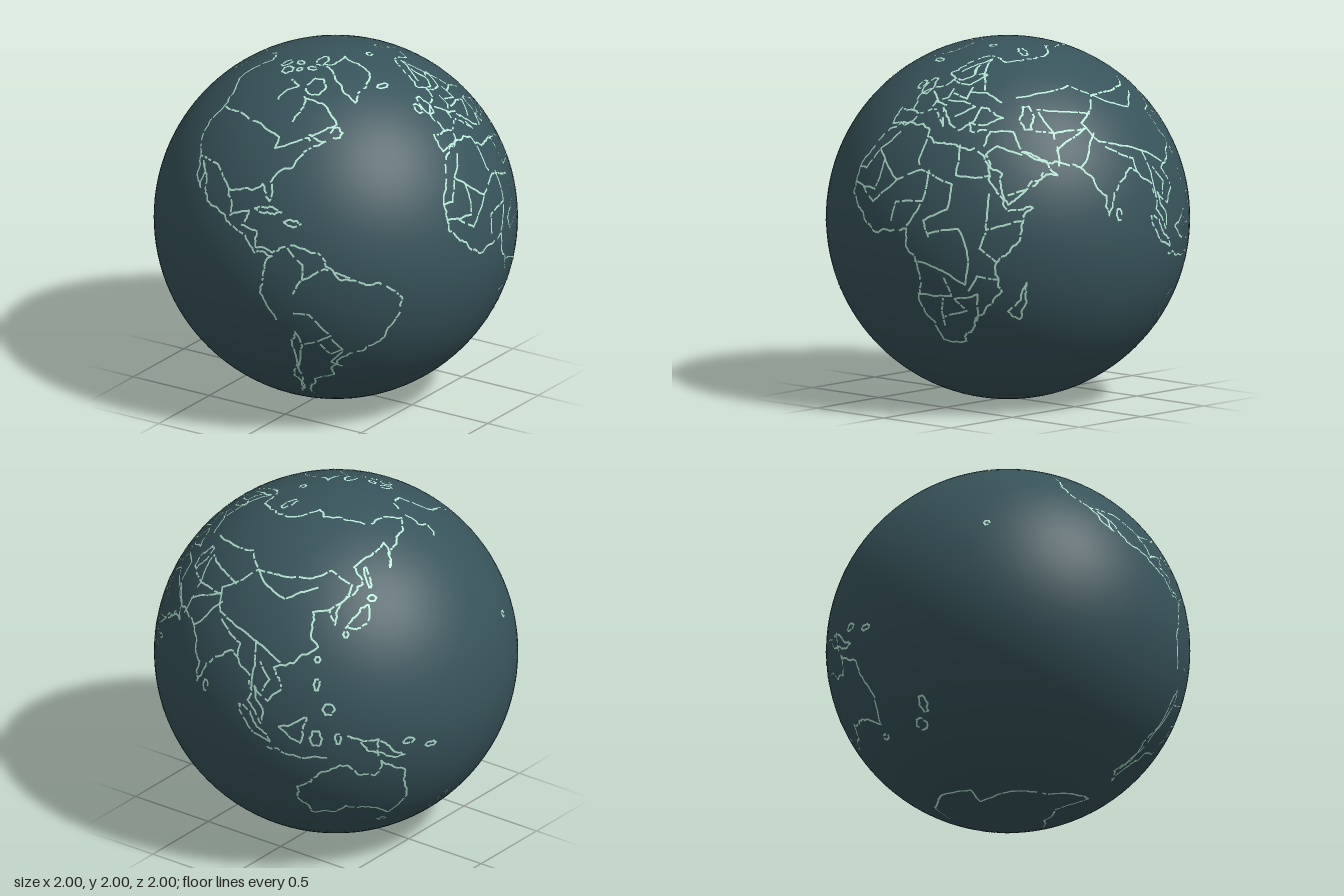
import * as THREE from 'three';

const ocean = new THREE.MeshStandardMaterial({ color: 0x37535a });
ocean.name = 'dark slate';
const mint = new THREE.MeshStandardMaterial({ color: 0xb9ecd8 });
mint.name = 'pale mint';

const WIDTH = 0.011, STEP = 0.022, GAP = 0.12, COAST = 0.32, BORDER = 0.12;

// Seeded noise for the ragged, broken lines
let seed = 7;
const rand = () => (seed = (seed * 16807) % 2147483647) / 2147483647;

// Longitude and latitude in degrees to a unit direction
function direction([lon, lat]) {
  return new THREE.Vector3().setFromSphericalCoords(1, (90 - lat) * Math.PI / 180, (lon + 90) * Math.PI / 180);
}

// Split a stretch at a shifted midpoint until the steps are short
function roughen(a, b, rough, out) {
  const angle = direction(a).angleTo(direction(b));
  if (angle < STEP) return out.push(direction(b));
  const shift = rough * THREE.MathUtils.radToDeg(angle);
  const lat = (a[1] + b[1]) / 2 + (rand() - 0.5) * shift;
  const mid = [(a[0] + b[0]) / 2 + (rand() - 0.5) * shift / Math.cos(lat * Math.PI / 180), lat];
  roughen(a, mid, rough, out);
  roughen(mid, b, rough, out);
}

function trace(path, rough) {
  const out = [direction(path)];
  for (let i = 2; i < path.length; i += 2) roughen(path.slice(i - 2, i), path.slice(i, i + 2), rough, out);
  return out;
}

// Closed outline of a small island from its centre and half sizes in degrees
function island(lon, lat, w, h) {
  const path = [];
  for (let i = 0; i < 6; i++) path.push(lon + w * Math.cos(i * Math.PI / 3), lat + h * Math.sin(i * Math.PI / 3));
  return [...path, path[0], path[1]];
}

// One mesh of flat dashes that lie just above the sphere
function outlines(name, rough, ...paths) {
  const position = [], normal = [], index = [];
  for (const path of paths) {
    const points = trace(path, rough);
    for (let i = 1; i < points.length; i++) {
      if (rand() < GAP) continue;
      const a = points[i - 1], b = points[i];
      const along = b.clone().sub(a).normalize();
      const side = a.clone().cross(along).setLength(WIDTH / 2);
      along.setLength(WIDTH / 4);
      const start = position.length / 3;
      for (const [p, s, e] of [[a, -1, -1], [b, -1, 1], [b, 1, 1], [a, 1, -1]]) {
        const n = p.clone().addScaledVector(side, s).addScaledVector(along, e).normalize();
        normal.push(...n.toArray());
        position.push(...n.toArray());
      }
      index.push(start, start + 1, start + 2, start, start + 2, start + 3);
    }
  }
  const geometry = new THREE.BufferGeometry();
  geometry.setAttribute('position', new THREE.Float32BufferAttribute(position, 3));
  geometry.setAttribute('normal', new THREE.Float32BufferAttribute(normal, 3));
  geometry.setIndex(index);
  const mesh = new THREE.Mesh(geometry, mint);
  mesh.name = name;
  return mesh;
}

export function createModel() {
  const globe = new THREE.Group();
  globe.name = 'globe';
  globe.position.y = 1;
  const sphere = new THREE.Mesh(new THREE.SphereGeometry(0.998, 128, 64), ocean);
  sphere.name = 'oceanSphere';

  globe.add(
    sphere,
    outlines('northAmericaCoast', COAST,
      // western side
      [-141, 60, -130, 55, -124, 48, -124, 40, -117, 32, -110, 23, -114, 31, -105, 20, -95, 16, -87, 13, -83, 8, -77, 8],
      // eastern side
      [-77, 9, -83, 10, -83, 15, -89, 16, -87, 21, -94, 18, -97, 26, -84, 30, -80, 25, -81, 31, -70, 42, -61, 46, -69, 48],
      [-69, 48, -56, 52, -65, 60, -78, 62, -79, 52], [-94, 59, -86, 66, -96, 68],
      // north-western peninsula
      [-164, 55, -158, 59, -165, 61, -156, 71, -141, 70]),
    outlines('northAmericaBorders', BORDER,
      [-123, 49, -95, 49, -83, 46, -83, 42, -75, 45, -69, 47, -67, 45], [-141, 70, -141, 60],
      [-117, 32, -106, 32, -97, 26]),
    outlines('northernIslands', COAST,
      [-44, 60, -54, 69, -72, 78, -32, 83, -22, 71, -44, 60],
      island(-80, 22, 5, 1), island(-71, 19, 3, 1), island(-56, 49, 3, 2), island(-72, 67, 8, 4),
      island(-80, 80, 10, 3), island(-110, 71, 6, 2), island(-122, 73, 4, 2), island(-86, 75, 6, 1),
      island(-108, 76, 6, 1), island(-99, 73, 3, 1), island(-19, 65, 5, 1), island(-2, 53, 3, 4),
      island(-8, 53, 2, 2), island(60, 74, 5, 3), island(18, 79, 6, 1)),

    outlines('southAmericaCoast', COAST,
      [-77, 9, -72, 12, -62, 10, -50, 1, -35, -6, -39, -17, -48, -26, -58, -34, -57, -38, -65, -41, -69, -52, -66, -55],
      [-66, -55, -74, -53, -73, -37, -70, -19], [-76, -14, -81, -5, -80, 1, -77, 8]),
    outlines('southAmericaBorders', BORDER,
      [-70, -18, -68, -24, -71, -35, -72, -51], [-70, -11, -65, -11, -58, -19, -67, -23],
      [-62, -22, -58, -27, -54, -25, -58, -20], [-54, -26, -58, -31, -54, -33],
      [-72, 11, -67, 6, -67, 1, -70, -4], [-67, 1, -60, 5, -52, 2]),

    outlines('europeCoast', COAST,
      // Atlantic and Baltic
      [3, 42, -9, 43, -9, 37, -2, 37, 3, 42], [-2, 43, -4, 48, 8, 54, 10, 57, 21, 55, 30, 60],
      [30, 60, 22, 60, 22, 65, 16, 57, 5, 60, 14, 67, 28, 71, 41, 67, 60, 69],
      // Mediterranean and Black Sea
      [3, 42, 10, 44, 16, 38, 13, 45, 23, 37, 29, 41, 31, 46, 41, 42, 27, 40, 28, 37, 36, 37, 34, 31]),
    outlines('europeBorders', BORDER,
      [3, 51, 8, 48, 7, 44], [14, 54, 13, 49, 8, 47, 14, 46], [15, 51, 23, 49, 24, 54], [14, 48, 22, 48, 28, 46, 20, 42],
      [24, 52, 32, 52, 40, 48], [31, 53, 28, 60, 29, 69, 12, 61]),

    outlines('africaCoast', COAST,
      [32, 31, 20, 32, 11, 34, 10, 37, -6, 36, -17, 21, -17, 13, -8, 4, 9, 4],
      [9, 4, 13, -9, 12, -18, 18, -34, 27, -34, 35, -22, 41, -15, 39, -6, 51, 12, 43, 11, 37, 20, 32, 30],
      [49, -12, 47, -25, 43, -22, 49, -12]),
    outlines('africaBorders', BORDER,
      // north
      [-2, 35, -9, 28, -5, 25, 3, 19, 12, 23, 24, 19], [-5, 25, -6, 15, -17, 16], [-9, 28, -13, 21, -17, 21],
      [11, 33, 10, 26, 12, 23], [25, 32, 25, 22, 37, 22], [3, 19, -6, 11, -12, 15], [15, 23, 14, 13, 4, 12, 3, 6],
      // middle
      [24, 19, 23, 11, 15, 7, 17, 2], [14, 13, 9, 5], [37, 17, 36, 5, 48, 8], [36, 4, 34, -1, 39, -5],
      [17, 3, 27, 5, 30, -2, 29, -13, 17, -7, 12, -6],
      // south
      [12, -17, 24, -17, 22, -11], [21, -18, 20, -28], [20, -25, 29, -22, 25, -18, 33, -16, 32, -27],
      [30, -15, 33, -10, 40, -11]),

    outlines('asiaCoast', COAST,
      [35, 29, 43, 13, 60, 22, 48, 30, 57, 26, 67, 25, 73, 20, 77, 8, 80, 15, 90, 22, 98, 16],
      [98, 16, 98, 8, 103, 1, 100, 13, 105, 9, 109, 13, 106, 20, 121, 28, 118, 39, 125, 40, 127, 35, 128, 40, 140, 48, 137, 54, 160, 61],
      [160, 61, 156, 52, 163, 58, 190, 66, 170, 70, 113, 74, 104, 77, 68, 69, 60, 69], island(51, 42, 3, 5)),
    outlines('asiaBorders', BORDER,
      // north and east
      [47, 50, 77, 54, 87, 49, 105, 42, 119, 47], [87, 49, 116, 50, 125, 53, 135, 48, 131, 43, 125, 40],
      // south
      [87, 49, 74, 39, 79, 32, 98, 27, 108, 22], [78, 35, 69, 24], [81, 30, 92, 25, 92, 21], [98, 27, 99, 12],
      [101, 21, 105, 16, 103, 12],
      // west
      [61, 25, 61, 36, 75, 37, 61, 30], [54, 37, 61, 36, 56, 45, 80, 42], [48, 30, 45, 37, 36, 37],
      [48, 29, 39, 32, 35, 29], [43, 16, 52, 19, 55, 23]),
    outlines('easternIslands', COAST,
      [131, 34, 141, 41, 140, 35, 131, 34], [95, 6, 106, -5, 95, 6], [105, -7, 125, -9],
      [109, 1, 118, 6, 116, -4, 109, 1], [131, -1, 141, -3, 150, -10, 138, -7, 131, -1], [141, -3, 141, -9],
      island(131, 32, 1, 1), island(143, 43, 2, 1), island(143, 50, 1, 4), island(121, 24, 1, 1),
      island(81, 8, 1, 2), island(121, 16, 1, 2), island(125, 8, 2, 2), island(121, -2, 2, 3),
      island(128, -2, 1, 2), island(151, -5, 2, 1), island(159, -8, 2, 1)),

    outlines('southernLands', COAST,
      [114, -22, 131, -12, 140, -17, 142, -11, 153, -27, 149, -38, 131, -31, 118, -35, 114, -22],
      island(147, -42, 2, 1), island(175, -38, 2, 3), island(170, -44, 3, 2), island(-156, 20, 1, 1)),
    outlines('polarCoast', BORDER,
      [-60, -64, -62, -75, -30, -77, 0, -70, 50, -67, 70, -70, 110, -66, 170, -72, 165, -78, 260, -73, 300, -64]));

  const model = new THREE.Group();
  model.add(globe);
  return model;
}
